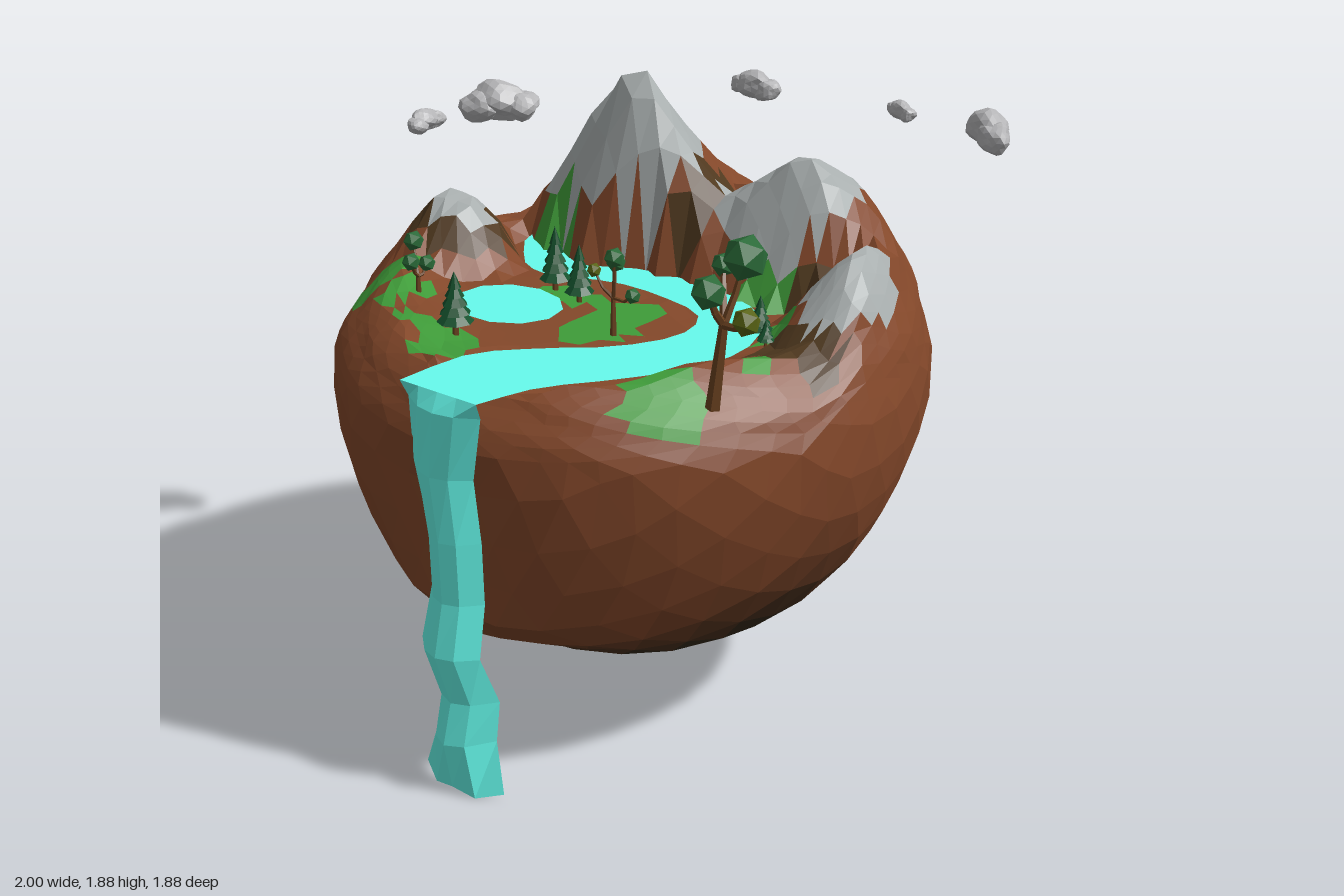
import * as THREE from 'three';
import { mergeGeometries } from 'three/addons/utils/BufferGeometryUtils.js';

const V = (x, y, z) => new THREE.Vector3(x, y, z);
const { smoothstep, lerp } = THREE.MathUtils;
const mat = (color, side = THREE.FrontSide) => new THREE.MeshStandardMaterial({ color, flatShading: true, roughness: 1, side });
const M = {
  darkSoil: mat(0x50391f), grass: mat(0x3f9c39), stone: mat(0xa9afaf), water: mat(0x66fbed, THREE.DoubleSide),
  pine: mat(0x14502c), leaf: mat(0x2a6a38), olive: mat(0x596414), bark: mat(0x6b4220), cloud: mat(0xb4b4b6),
};
// Soil tones from the dark underside up to the warm top
const TONES = 7;
for (let i = 0; i < TONES; i++) {
  M['soil' + i] = mat(new THREE.Color(0x352a1a).lerp(new THREE.Color(0x84482a), i / (TONES - 1)));
}
const mesh = (name, geo, material) => {
  const m = new THREE.Mesh(geo, material);
  m.name = name;
  return m;
};

// River banks seen from above, outer and inner [x, z]
const OUTER = [[.17, -.52], [.12, -.36], [.08, -.2], [.14, 0], [.12, .28], [.02, .48], [-.2, .57], [-.4, .53], [-.6, .4], [-.77, .27], [-.95, .21]];
const INNER = [[.11, -.5], [-.05, -.36], [-.08, -.24], [-.01, -.05], [-.02, .15], [-.08, .32], [-.22, .36], [-.4, .27], [-.55, .1], [-.7, -.03], [-.95, -.065]];
const curve = (pts) => new THREE.CatmullRomCurve3(pts.map(([x, z]) => V(x, 0, z)));
const STEPS = 22;
const outerBank = curve(OUTER), innerBank = curve(INNER);
const river = Array.from({ length: STEPS + 1 }, (_, i) => [outerBank.getPoint(i / STEPS), innerBank.getPoint(i / STEPS)]);
const nearRiver = (x, z) => river.some(([a, b]) =>
  Math.hypot((a.x + b.x) / 2 - x, (a.z + b.z) / 2 - z) < a.distanceTo(b) / 2 + .015);

// Peaks: x, z, height, west slope, east slope, z slope, flat top
const PEAKS = [
  [.26, -.17, 1.93, 3, 1.3, 1.4, 1.9], [.35, .39, 1.72, 1.8, .7, .8, 1.7],
  [.13, .74, 1.58, .9, .6, 1.3, 1.53], [-.1, -.6, 1.56, 1.2, 1.2, 1.2, 1.49],
];
// Surface patches: x, z, x radius, z radius
const STONE = [[.28, -.22, .16, .28], [.36, .35, .2, .23], [.08, .73, .18, .12], [-.1, -.59, .09, .1]];
const DARK = [[-.1, -.6, .15, .18], [-.17, .72, .09, .14], [.12, .57, .1, .06], [.3, .09, .14, .06], [.42, -.48, .08, .06]];
const GRASS = [
  [-.42, -.62, .13, .09], [-.5, -.46, .1, .06], [-.68, -.14, .11, .09], [-.63, -.28, .04, .1], [-.15, -.1, .06, .12], [-.25, .12, .19, .11],
  [-.6, .56, .1, .12], [-.27, .68, .09, .05], [.13, .4, .05, .1], [.14, -.35, .04, .15], [-.05, .58, .08, .05],
];
const inside = (list, x, z) => list.some(([cx, cz, rx, rz]) => ((x - cx) / rx) ** 2 + ((z - cz) / rz) ** 2 < 1);
const noise = (x, y, z) => (Math.sin(x * 13 + y * 7 + 1) + Math.sin(z * 15 - x * 6 + 2) + Math.sin(y * 17 + z * 8)) / 3;

function terrainHeight(x, z, r) {
  const arch = Math.sqrt(Math.max(0, 1 - r * r));
  const dome = 1.08 + .6 * arch;
  const plateau = 1.285 + .05 * smoothstep(r, .55, .8) * (1 + noise(x, 0, z));
  const hills = dome - arch * (.14 * Math.exp(-(((z - .1) / .1) ** 2)) + .2 * smoothstep(-z, .12, .55));
  let h = lerp(Math.min(1.08 + .43 * arch, plateau), hills, smoothstep(x, .1, .34));
  for (const [px, pz, top, west, eastSlope, s, flat] of PEAKS) {
    const dx = x - px;
    h = Math.max(h, Math.min(flat, top - Math.hypot(dx * (dx < 0 ? west : eastSlope), (z - pz) * s)));
  }
  h += .02 * noise(x * 2, 0, z * 2) * smoothstep(h, 1.3, 1.45);
  h = Math.min(h, dome + .5 * (1 - r));
  return nearRiver(x, z) ? Math.min(h, 1.28) : h;
}

// Island: a sphere whose upper part becomes the terrain, its faces sorted by ground type
function island() {
  const geo = new THREE.IcosahedronGeometry(1, 10).toNonIndexed();
  const p = geo.attributes.position, split = -.6;
  for (let i = 0; i < p.count; i++) {
    const d = V().fromBufferAttribute(p, i).normalize();
    const a = Math.atan2(d.z, d.x) + .05 * noise(d.x, d.y, d.z);
    const upper = d.y > split;
    const u = upper ? 0 : (split - d.y) / (1 + split);
    const s = Math.sqrt(Math.max(0, 1 - d.y) / (1 - split));
    const r = upper ? lerp(s, Math.sin(s * Math.PI / 2), .5) : Math.sqrt(Math.max(0, 1 - u * u));
    const R = 1 + .01 * noise(d.x, d.y, d.z) * smoothstep(r, .3, .9);
    let x = -.012 + Math.cos(a) * r * R * .932;
    const z = .028 + Math.sin(a) * r * R * .906;
    const y = upper ? terrainHeight(x, z, r) : 1.08 - .92 * u;
    // overhanging ledge behind the waterfall
    if (!upper && x < 0) x = lerp(x, -.9, Math.exp(-(((z - .07) / .3) ** 2)) * smoothstep(y, .41, .55));
    p.setXYZ(i, x, y, z);
  }
  const faces = {};
  for (let i = 0; i < p.count; i += 3) {
    const [a, b, c] = [0, 1, 2].map((k) => V().fromBufferAttribute(p, i + k));
    const m = V().add(a).add(b).add(c).divideScalar(3);
    const shade = smoothstep(m.y - .25 * Math.exp(-(((m.x + .15) / .32) ** 2)), .15, .65);
    let kind = 'soil' + Math.round(shade * (TONES - 1));
    if (m.y > 1.2) {
      if (inside(STONE, m.x, m.z) && m.y > 1.35) kind = 'stone';
      else if (inside(DARK, m.x, m.z)) kind = 'darkSoil';
      else if (inside(GRASS, m.x, m.z)) kind = 'grass';
    }
    (faces[kind] ??= []).push(a, b, c);
  }
  const g = new THREE.Group();
  g.name = 'island';
  for (const kind in faces) {
    const part = new THREE.BufferGeometry().setFromPoints(faces[kind]);
    part.computeVertexNormals();
    g.add(mesh(kind, part, M[kind]));
  }
  return g;
}

// Strip through rows of points
function strip(rows) {
  const n = rows[0].length, index = [];
  for (let i = 0; i < rows.length - 1; i++) for (let j = 0; j < n - 1; j++) {
    const a = i * n + j, b = a + n;
    index.push(a, a + 1, b, b, a + 1, b + 1);
  }
  const geo = new THREE.BufferGeometry().setFromPoints(rows.flat());
  geo.setIndex(index);
  geo.computeVertexNormals();
  return geo;
}

// Waterfall rows: y, x of the crest, depth of the bow, half width
const FALL = [[1.298, -.95, 0, .138], [1.25, -.985, .05, .13], [1.05, -.985, .06, .11], [.85, -.98, .07, .1], [.65, -.97, .07, .1],
  [.48, -.995, .07, .11], [.32, -.96, .09, .11], [.18, -.98, .11, .11], [.02, -.95, .06, .15]];
const fallRows = FALL.map(([y, x, bow, w], i) => [-1, -.5, 0, .5, 1].map((t, j) =>
  V(x + bow * t * t, y - (i === 8 && j % 2 ? .02 : 0), .072 + t * w + .012 * Math.sin(i * 2.3))));

// Low-poly lump, optionally roughened
function lump(c, rx, ry, rz, detail = 0, rough = 0) {
  const geo = new THREE.IcosahedronGeometry(1, detail), p = geo.attributes.position;
  for (let i = 0; i < p.count; i++) {
    const v = V().fromBufferAttribute(p, i);
    v.multiplyScalar(1 + rough * noise(v.x * .3 + c.x * 9, v.y * .3, v.z * .3 + c.z * 5));
    p.setXYZ(i, v.x * rx, v.y * ry, v.z * rz);
  }
  return geo.translate(c.x, c.y, c.z);
}

function branch(a, b, r0, r1) {
  const d = b.clone().sub(a), geo = new THREE.CylinderGeometry(r1, r0, d.length(), 5);
  geo.applyQuaternion(new THREE.Quaternion().setFromUnitVectors(V(0, 1, 0), d.normalize()));
  const m = a.clone().add(b).multiplyScalar(.5);
  return geo.translate(m.x, m.y, m.z);
}

// Forked tree: base, fork and leaf balls [x, y, z, radius, olive]
function leafTree(base, fork, balls, r) {
  const g = new THREE.Group();
  g.name = 'leafTree';
  const wood = [branch(base, fork, r, r * .6)];
  for (const [x, y, z, size, olive] of balls) {
    const end = V(x, y, z), knee = fork.clone().lerp(end, .55);
    knee.y -= .015;
    wood.push(branch(fork, knee, r * .55, r * .45), branch(knee, end, r * .45, r * .3));
    g.add(mesh('leaves', lump(end, size, size, size), olive ? M.olive : M.leaf));
  }
  g.add(mesh('trunk', mergeGeometries(wood), M.bark));
  return g;
}

function pineTree(x, y, z, r, h) {
  const g = new THREE.Group();
  g.name = 'pineTree';
  const tiers = [0, 1, 2, 3, 4].map((i) => new THREE.ConeGeometry(r * (1 - i * .16), h * .26, 8).rotateY(i).translate(0, h * (.33 + i * .135), 0));
  g.add(mesh('needles', mergeGeometries(tiers), M.pine));
  g.add(mesh('trunk', new THREE.CylinderGeometry(r * .16, r * .2, h * .35, 5).translate(0, h * .12, 0), M.bark));
  g.position.set(x, y, z);
  return g;
}

// Floating cloud made of three lumps, long along x before turning
function cloud(x, y, z, len, h, w, turn) {
  const lumps = [[0, .1, .68, 1], [-.5, -.15, .5, .8], [.55, -.12, .45, .75]].map(([t, up, l, s], i) =>
    lump(V(t * len, up * h, (i - 1) * .12 * w), l * len, s * h, s * w, 2, .22));
  const m = mesh('cloud', mergeGeometries(lumps), M.cloud);
  m.position.set(x, y, z);
  m.rotation.y = turn;
  return m;
}

export function createModel() {
  const model = new THREE.Group();
  model.add(island());
  model.add(mesh('river', strip(river.map(([a, b]) => [1, .5, 0].map((t) => a.clone().lerp(b, t).setY(1.298)))), M.water));
  model.add(mesh('waterfall', strip(fallRows), M.water));
  const pond = new THREE.CircleGeometry(1, 11).rotateX(-Math.PI / 2).scale(.15, 1, .175);
  model.add(mesh('pond', pond.translate(-.34, 1.298, -.19), M.water));

  for (const t of [[-.61, 1.3, -.16, .055, .19], [-.14, 1.28, -.17, .05, .21], [-.175, 1.28, -.05, .046, .19],
    [-.07, 1.28, .53, .038, .13], [-.13, 1.29, .59, .026, .08], [.2, 1.34, .08, .036, .16]]) model.add(pineTree(...t));

  model.add(leafTree(V(-.52, 1.26, .68), V(-.52, 1.51, .71),
    [[-.455, 1.685, .73, .065], [-.58, 1.62, .7, .05], [-.61, 1.58, .84, .04, 1], [-.41, 1.63, .63, .035], [-.52, 1.58, .66, .024, 1]], .022));
  model.add(leafTree(V(-.32, 1.27, .19), V(-.32, 1.4, .19),
    [[-.355, 1.54, .22, .031], [-.295, 1.5, .18, .03], [-.32, 1.47, .12, .022, 1], [-.335, 1.43, .27, .024]], .011));
  model.add(leafTree(V(-.47, 1.28, -.43), V(-.47, 1.37, -.43),
    [[-.43, 1.46, -.48, .032], [-.43, 1.4, -.43, .027], [-.53, 1.44, -.4, .028]], .011));

  for (const c of [[.89, 1.71, .73, .13, .06, .062, .72], [.555, 1.815, .08, .095, .045, .047, 1.45], [.63, 1.8, .56, .058, .03, .03, 1.2],
    [.145, 1.73, -.62, .125, .065, .067, -.85], [.1, 1.63, -.9, .085, .037, .037, .1]]) model.add(cloud(...c));
  return model;
}
